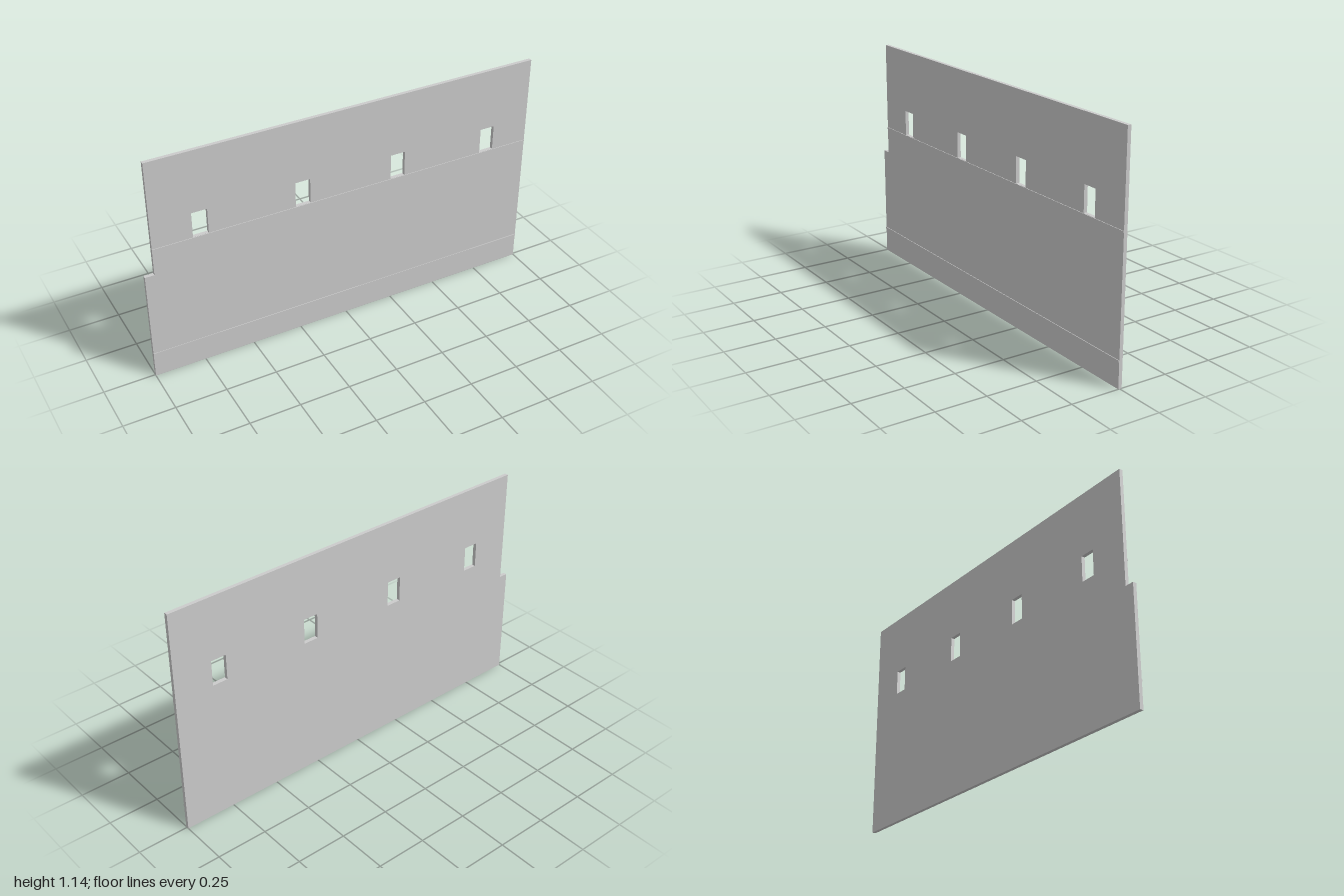
import * as THREE from 'three';

export function createModel() {
  const group = new THREE.Group();
  const material = new THREE.MeshStandardMaterial({ color: 0xcccccc, flatShading: true });
  const back = -0.0105, face = 0.0075, front = 0.0105;
  const height = 1.14, notchX = -0.955, notchY = 0.565;

  // Wall slab with a step in its right-hand edge
  const outline = new THREE.Shape([
    [-1, 0], [1, 0], [1, height], [notchX, height], [notchX, notchY], [-1, notchY],
  ].map(([x, y]) => new THREE.Vector2(x, y)));

  // Row of four window openings
  const w = 0.0375, sill = 0.703, head = 0.83;
  for (const x of [-0.725, -0.222, 0.275, 0.773]) {
    outline.holes.push(new THREE.Path([
      [x - w, sill], [x - w, head], [x + w, head], [x + w, sill],
    ].map(([px, py]) => new THREE.Vector2(px, py))));
  }
  const wallGeometry = new THREE.ExtrudeGeometry(outline, { depth: face - back, bevelEnabled: false });
  wallGeometry.translate(0, 0, back);
  const wall = new THREE.Mesh(wallGeometry, material);
  wall.name = 'wall';
  group.add(wall);

  // Thin horizontal string courses on the front face
  const addCourse = (name, left, y) => {
    const course = new THREE.Mesh(new THREE.BoxGeometry(1 - left, 0.008, front - face), material);
    course.position.set((1 + left) / 2, y, (front + face) / 2);
    course.name = name;
    group.add(course);
  };
  addCourse('sillCourse', notchX, 0.698);
  addCourse('baseCourse', -1, 0.128);

  return group;
}
